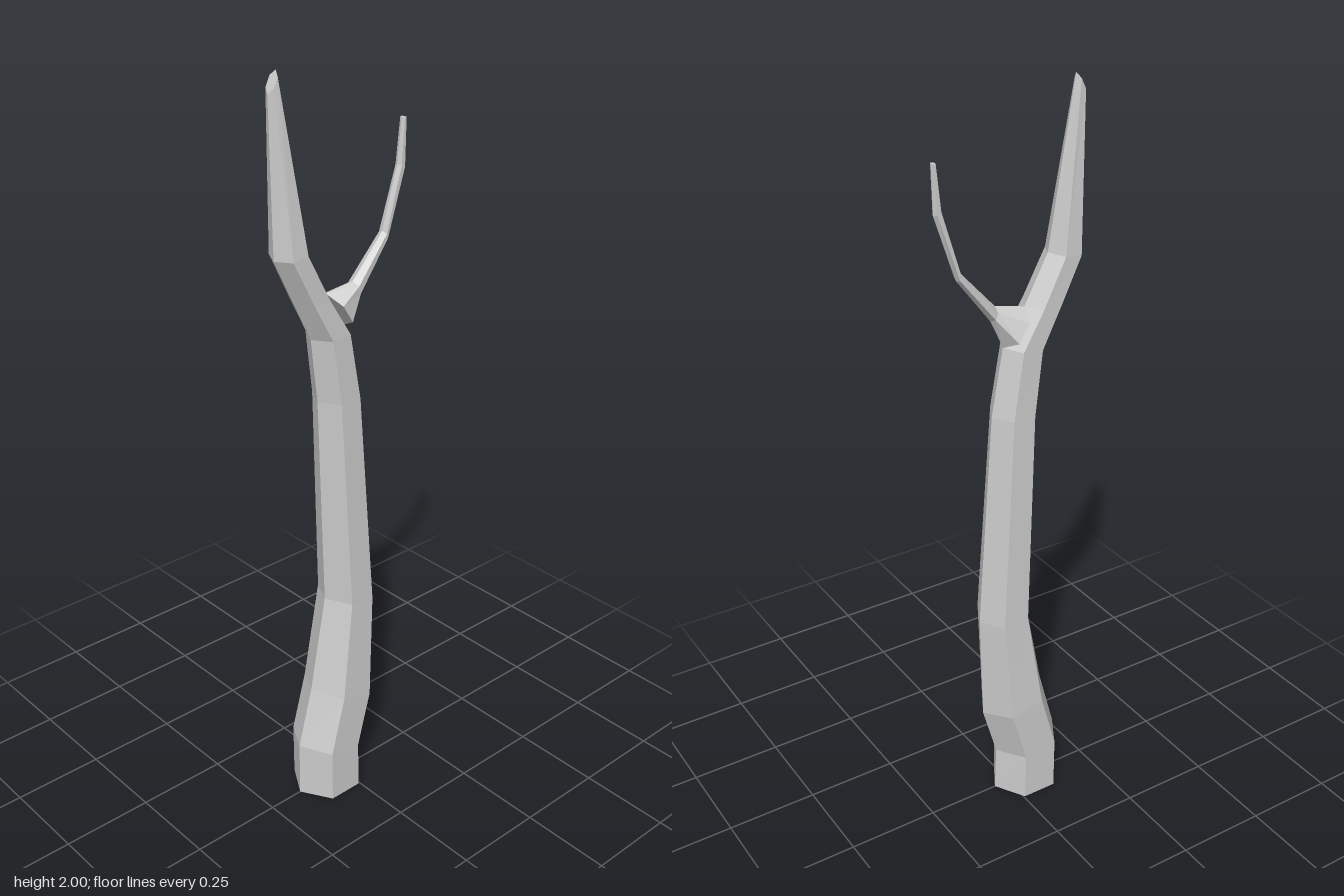
import * as THREE from 'three';

const SIDES = 6;

// Each ring: left x, left y, right x, right y, half depth, depth centre
function ringPoints([lx, ly, rx, ry, hz, cz = 0]) {
  const points = [];
  for (let i = 0; i < SIDES; i++) {
    const a = (i / SIDES) * Math.PI * 2;
    const t = (1 + Math.cos(a)) / 2;
    const z = cz + (hz * Math.sin(a)) / Math.sin(Math.PI / 3);
    points.push(new THREE.Vector3(lx + (rx - lx) * t, ly + (ry - ly) * t, z));
  }
  return points;
}

// Skin a row of hexagonal rings and close both ends
function limb(name, sections, material) {
  const rings = sections.map(ringPoints);
  const corners = [];
  for (let r = 0; r < rings.length - 1; r++) {
    for (let i = 0; i < SIDES; i++) {
      const j = (i + 1) % SIDES;
      const [a, b, c, d] = [rings[r][i], rings[r][j], rings[r + 1][j], rings[r + 1][i]];
      corners.push(a, d, b, b, d, c);
    }
  }
  const first = rings[0];
  const last = rings[rings.length - 1];
  for (let i = 1; i < SIDES - 1; i++) {
    corners.push(first[0], first[i], first[i + 1]);
    corners.push(last[0], last[i + 1], last[i]);
  }
  const geometry = new THREE.BufferGeometry().setFromPoints(corners);
  geometry.computeVertexNormals();
  const mesh = new THREE.Mesh(geometry, material);
  mesh.name = name;
  return mesh;
}

export function createModel() {
  const bark = new THREE.MeshStandardMaterial({ color: 0xcccccc, flatShading: true });
  const tree = new THREE.Group();
  tree.name = 'bareTree';

  // Bent trunk running on into the thick branch
  tree.add(limb('trunkAndThickBranch', [
    [-0.15, 0, 0.045, 0, 0.083],
    [-0.15, 0.16, 0.04, 0.13, 0.083],
    [-0.105, 0.33, 0.082, 0.28, 0.082],
    [-0.055, 0.6, 0.09, 0.585, 0.069],
    [-0.075, 1.18, 0.048, 1.18, 0.056],
    [-0.095, 1.35, 0.015, 1.36, 0.052],
    [-0.145, 1.455, -0.045, 1.455, 0.048, -0.003],
    [-0.2, 1.57, -0.11, 1.58, 0.045, -0.005],
    [-0.2, 1.95, -0.175, 2, 0.014, -0.014],
  ], bark));

  // Thin branch leaving the fork, with its upper edge given first
  tree.add(limb('thinBranch', [
    [-0.045, 1.455, 0.015, 1.36, 0.048, -0.002],
    [0.033, 1.47, 0.045, 1.432, 0.02, 0.008],
    [0.13, 1.575, 0.138, 1.553, 0.014, 0.007],
    [0.174, 1.73, 0.196, 1.722, 0.011, 0.008],
    [0.187, 1.842, 0.198, 1.842, 0.008, 0.008],
  ], bark));

  return tree;
}
